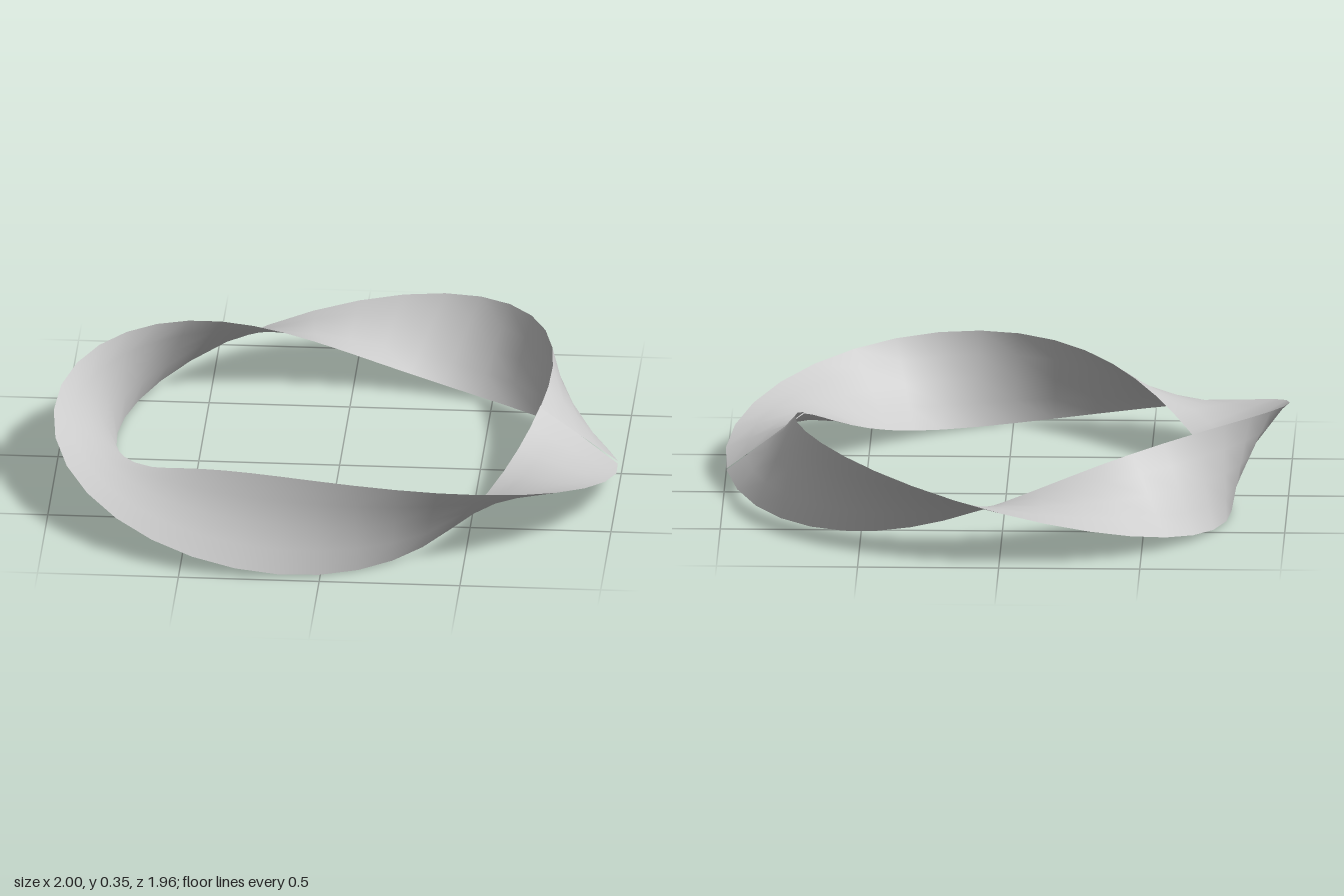
import * as THREE from 'three';

const RADIUS = 0.867;       // radius of the centre line
const HALF_WIDTH = 0.173;   // half the width of the band
const HALF_TWISTS = 3;
const PHASE = -0.65;        // tilt of the band at its seam
const SKEW = 0.01;          // slight slant across the band, leaves a notch at the seam
const STEPS = 40;
const ACROSS = 4;

// Open band of cross lines that tilt steadily as they go round the circle
function twistedBand() {
  const positions = [];
  const index = [];
  for (let i = 0; i <= STEPS; i++) {
    const angle = (i / STEPS) * Math.PI * 2;
    const tilt = PHASE + angle * HALF_TWISTS / 2;
    const c = Math.cos(angle), s = Math.sin(angle);
    for (let j = 0; j <= ACROSS; j++) {
      const t = (j / ACROSS) * 2 - 1;
      const r = RADIUS + t * HALF_WIDTH * Math.cos(tilt);
      const slide = SKEW * t;
      positions.push(
        r * c - slide * s - 0.012,
        HALF_WIDTH + t * HALF_WIDTH * Math.sin(tilt),
        r * s + slide * c + 0.056
      );
      if (i < STEPS && j < ACROSS) {
        const a = i * (ACROSS + 1) + j;
        const b = a + ACROSS + 1;
        index.push(a, b, a + 1, b, b + 1, a + 1);
      }
    }
  }
  const geometry = new THREE.BufferGeometry();
  geometry.setAttribute('position', new THREE.Float32BufferAttribute(positions, 3));
  geometry.setIndex(index);
  geometry.computeVertexNormals();
  return geometry;
}

export function createModel() {
  const group = new THREE.Group();
  group.name = 'twistedRing';

  const grey = new THREE.MeshStandardMaterial({ color: 0xcccccc, side: THREE.DoubleSide });
  grey.name = 'lightGrey';

  const band = new THREE.Mesh(twistedBand(), grey);
  band.name = 'twistedBand';
  group.add(band);
  return group;
}
